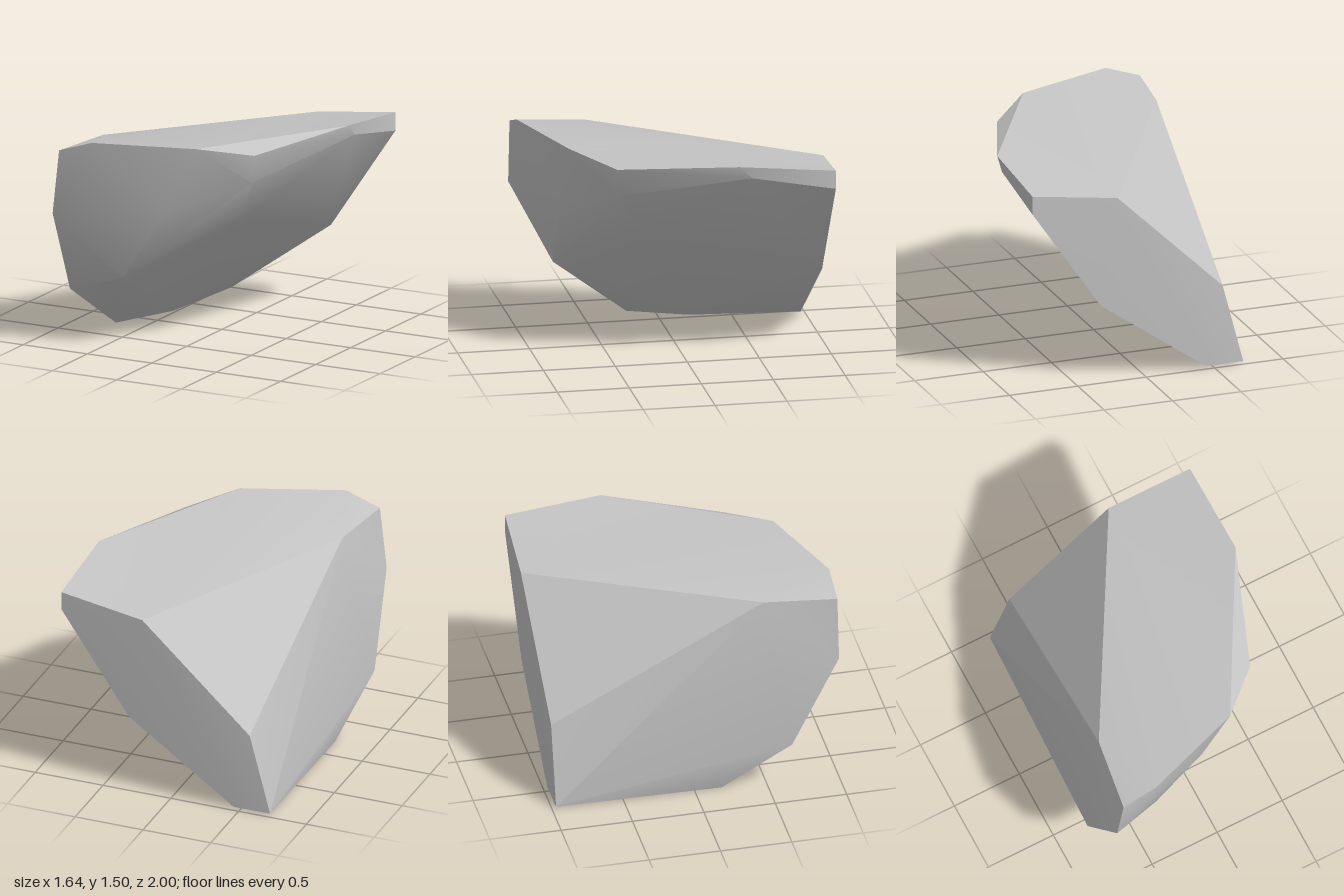
import * as THREE from 'three';
import { toCreasedNormals } from 'three/addons/utils/BufferGeometryUtils.js';

// Corner points of the boulder
const P = {
  // rim of the top
  C: [-0.72, 1.41, 1], D: [-0.47, 1.495, 1], F: [0.22, 1.485, 0.77], G: [0.52, 1.41, 0.49],
  H: [0.82, 1.475, -0.3], A: [0.82, 1.41, -0.97], T: [0.21, 1.33, -1], L: [-0.65, 1.41, 0.5],
  // back outline
  a: [0.82, 1.28, -0.97], W: [0.32, 0.55, -0.97], X: [-0.45, 0.01, -0.97],
  Y: [-0.72, 0.01, -0.97], V: [-0.57, 0.58, -0.97],
  // left and bottom edge
  B: [-0.72, 0, 0.19], K: [-0.82, 0.34, 0.66], E: [-0.77, 0.96, 1], Q: [-0.49, 0.02, -0.2],
  // front and right bulges
  M: [0, 1.03, 0.78], N: [0.49, 1.21, 0.47], R: [0.32, 0.89, 0.28], S: [-0.35, 0.5, 0.77],
  h: [0.82, 1.39, -0.39],
};

// Triangles of each side, three corners at a time
const SIDES = [
  'TLD LCD TDF TFH FGH THA', // top
  'TAa TaW TWX TXY TYV', // back
  'TVL', // sloped cut
  'LVY LYK YBK LKE LEC', // left
  'CED DEM DMF EKS ESM KBS FMN FNG MSN', // front
  'SRN SBQ SQR QWR Wah WhR RhN', // lower right
  'NhG GhH haA hAH', // upper right band
  'BYQ YXQ XWQ', // underside
];

export function createModel() {
  const stone = new THREE.MeshStandardMaterial({ color: 0xc4c4c4 });
  stone.name = 'stone grey';

  const corners = SIDES.join('').replaceAll(' ', '');
  const geometry = new THREE.BufferGeometry();
  geometry.setAttribute(
    'position',
    new THREE.Float32BufferAttribute([...corners].flatMap((c) => P[c]), 3),
  );

  // Gentle angles are smooth, steep ones stay sharp
  const boulder = new THREE.Mesh(toCreasedNormals(geometry, 0.55), stone);
  boulder.name = 'boulder';

  const rock = new THREE.Group();
  rock.name = 'rock';
  rock.add(boulder);
  return rock;
}
